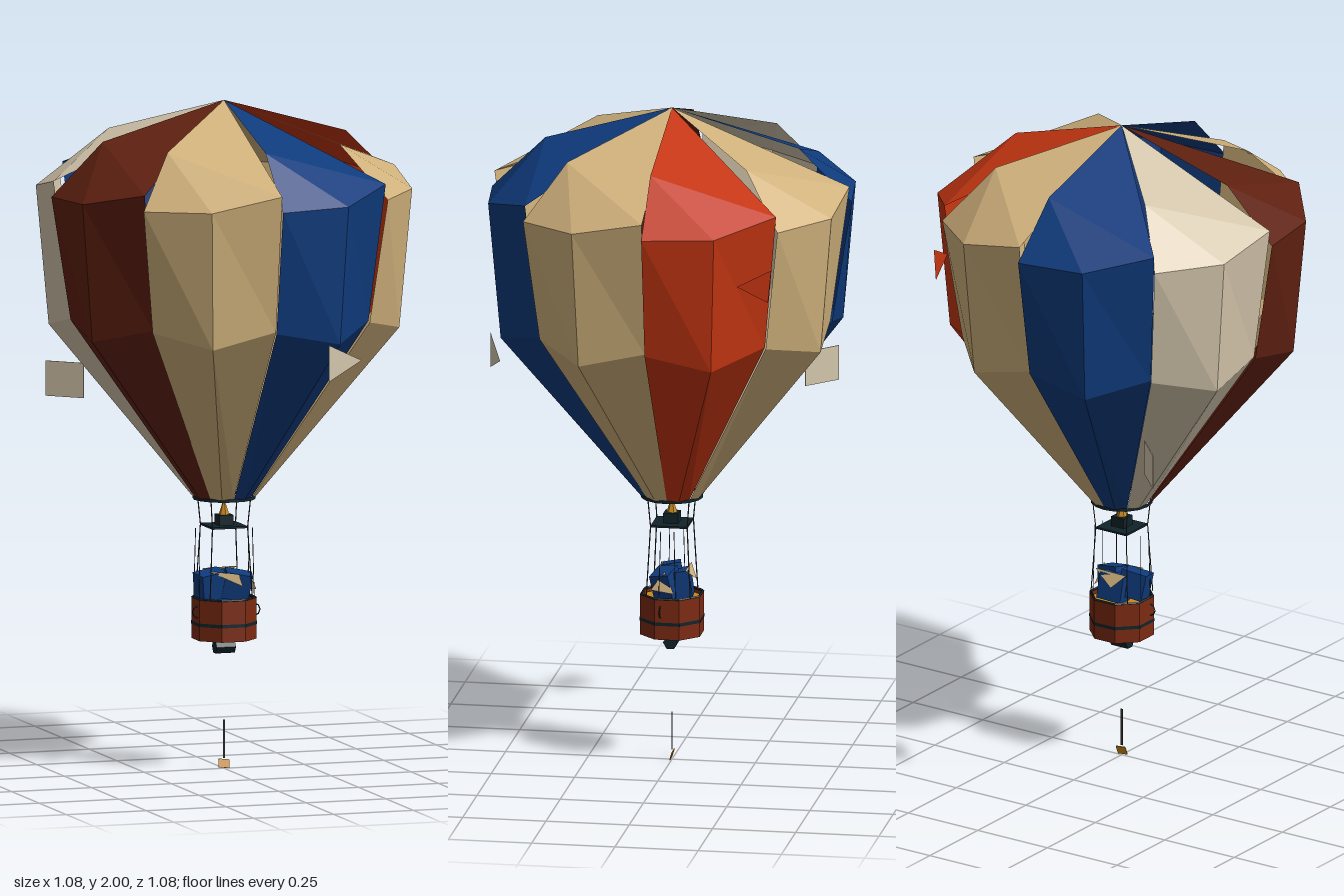
import * as THREE from 'three';

const mat = (name, color) => {
  const m = new THREE.MeshStandardMaterial({ color, side: THREE.DoubleSide, flatShading: true });
  m.name = name;
  return m;
};

export function createModel() {
  const root = new THREE.Group();
  root.name = 'hotAirBalloon';
  const blue = mat('blueCloth', 0x0f3b7d), tan = mat('tanCloth', 0xd0b17c), red = mat('redCloth', 0xc43511);
  const pale = mat('paleCloth', 0xd4c6ac), maroon = mat('maroonCloth', 0x5f2010), brick = mat('basketRed', 0x7c2a12);
  const dark = mat('darkIron', 0x10242a), gold = mat('gold', 0xc98a1c), rope = mat('rope', 0x3c3a38);

  const add = (name, geo, material, pos = [0, 0, 0], rot = [0, 0, 0], parent = root) => {
    const mesh = new THREE.Mesh(geo, material);
    mesh.name = name;
    mesh.position.set(...pos);
    mesh.rotation.set(...rot);
    parent.add(mesh);
    return mesh;
  };
  const box = (w, h, d) => new THREE.BoxGeometry(w, h, d);
  const facets = (tris) => {
    const g = new THREE.BufferGeometry().setFromPoints(tris.flat());
    g.computeVertexNormals();
    return g;
  };
  const v = (x, y, z) => new THREE.Vector3(x, y, z);
  const rod = (name, a, b, r, material) => {
    const m = add(name, new THREE.CylinderGeometry(r, r, a.distanceTo(b), 4), material);
    m.position.copy(a).lerp(b, 0.5);
    m.quaternion.setFromUnitVectors(v(0, 1, 0), b.clone().sub(a).normalize());
  };

  // Envelope: eight overlapping gores, each with a leading, middle and trailing seam
  const seams = [
    [[0.54, 1.735], [0.48, 1.365], [0.09, 0.815]],
    [[0.558, 1.74], [0.52, 1.325], [0.094, 0.815]],
    [[0.533, 1.782], [0.476, 1.37], [0.088, 0.815]],
  ];
  const polar = (r, y, a) => v(r * Math.sin(a), y, r * Math.cos(a));
  const goreTris = [];
  const cols = seams.map((s, i) => s.map(([r, y]) => polar(r, y, i * Math.PI / 8)));
  const apex = v(0, 2, 0), shoulder = polar(0.38, 1.892, 0);
  goreTris.push([apex, shoulder, cols[2][0]], [shoulder, cols[1][0], cols[2][0]], [shoulder, cols[0][0], cols[1][0]]);
  for (let c = 0; c < 2; c++) {
    for (let r = 0; r < 2; r++) {
      const [a, b, d, e] = [cols[c][r], cols[c + 1][r], cols[c][r + 1], cols[c + 1][r + 1]];
      goreTris.push([d, e, a], [e, b, a]);
    }
  }
  const gore = facets(goreTris);
  const envelope = new THREE.Group();
  envelope.name = 'envelope';
  root.add(envelope);
  [blue, tan, red, tan, blue, pale, maroon, tan].forEach((m, i) =>
    add('gore' + (i + 1), gore, m, [0, 0, 0], [0, i * Math.PI / 4, 0], envelope));
  add('mouthRim', new THREE.CylinderGeometry(0.093, 0.093, 0.01, 16, 1, true), dark, [0, 0.813, 0]);

  // Loose cloth patches
  add('frontPatch', facets([[v(0.15, 1.22, 0.52), v(0.27, 1.273, 0.47), v(0.15, 1.33, 0.52)]]), pale);
  add('sidePatch', facets([[v(0.44, 1.58, -0.27), v(0.42, 1.53, -0.36), v(0.42, 1.63, -0.37)]]), red);
  add('backPatch', box(0.124, 0.105, 0.003), pale, [-0.365, 1.128, -0.388], [0, Math.PI * 0.757, 0]);

  // Burner
  add('burnerPlate', box(0.11, 0.006, 0.11), dark, [0, 0.727, 0]);
  add('burner', box(0.045, 0.033, 0.045), dark, [0, 0.744, 0]);
  add('flame', new THREE.ConeGeometry(0.016, 0.05, 6), gold, [0, 0.785, 0]);

  // Rigging
  for (const sx of [-1, 1]) for (const sz of [-1, 1]) {
    rod('upperRope', v(sx * 0.055, 0.727, sz * 0.055), v(sx * 0.062, 0.815, sz * 0.062), 0.0018, rope);
    rod('lowerRope', v(sx * 0.055, 0.727, sz * 0.055), v(sx * 0.066, 0.515, sz * 0.066), 0.0018, rope);
    rod('outerRope', v(sx * 0.082, 0.72, sz * 0.02), v(sx * 0.086, 0.515, sz * 0.025), 0.0012, rope);
  }

  // Basket
  const oct = [0, Math.PI / 8, 0];
  add('basketWall', new THREE.CylinderGeometry(0.097, 0.097, 0.122, 8, 1, true), brick, [0, 0.451, 0], oct);
  add('basketFloor', new THREE.CylinderGeometry(0.096, 0.096, 0.006, 8), brick, [0, 0.393, 0], oct);
  add('basketBand', new THREE.CylinderGeometry(0.0985, 0.0985, 0.01, 8, 1, true), dark, [0, 0.438, 0], oct);
  add('basketRim', new THREE.TorusGeometry(0.094, 0.004, 4, 8), dark, [0, 0.513, 0], [Math.PI / 2, 0, Math.PI / 8]);
  add('basketDeck', new THREE.CylinderGeometry(0.088, 0.088, 0.006, 8), gold, [0, 0.498, 0], oct);
  for (const s of [-1, 1])
    add('sideLoop', new THREE.TorusGeometry(0.018, 0.002, 4, 8), dark, [s * 0.088, 0.475, 0.02]);
  add('underWeight', new THREE.CylinderGeometry(0.022, 0.022, 0.06, 6), dark, [0, 0.366, 0], [0, 0, Math.PI / 2]);

  // Cargo: slumped cloth bundles with folded covers
  [[-0.045, 0.553, 0.005, 0.2], [0.035, 0.55, 0.012, -0.25], [0.005, 0.545, -0.03, 0.1]].forEach(([x, y, z, tilt], i) =>
    add('bundle' + (i + 1), box(0.08, 0.08, 0.06), blue, [x, y, z], [0.15, tilt, tilt * 0.6]));
  add('frontFold', facets([[v(-0.06, 0.597, 0.03), v(0.04, 0.55, 0.056), v(0.03, 0.585, 0.05)]]), tan);
  add('backFold', facets([[v(0.06, 0.597, -0.05), v(-0.01, 0.555, -0.073), v(-0.05, 0.595, -0.05)]]), tan);
  add('leftFold', facets([[v(0.084, 0.54, 0.05), v(0.085, 0.53, -0.02), v(0.07, 0.595, 0.01)]]), tan);

  // Hanging line and weight
  add('trailLine', box(0.006, 0.115, 0.002), rope, [0, 0.089, 0]);
  add('trailWeight', box(0.034, 0.026, 0.003), gold, [0, 0.0155, 0], [-0.3, 0, -0.12]);

  return root;
}
